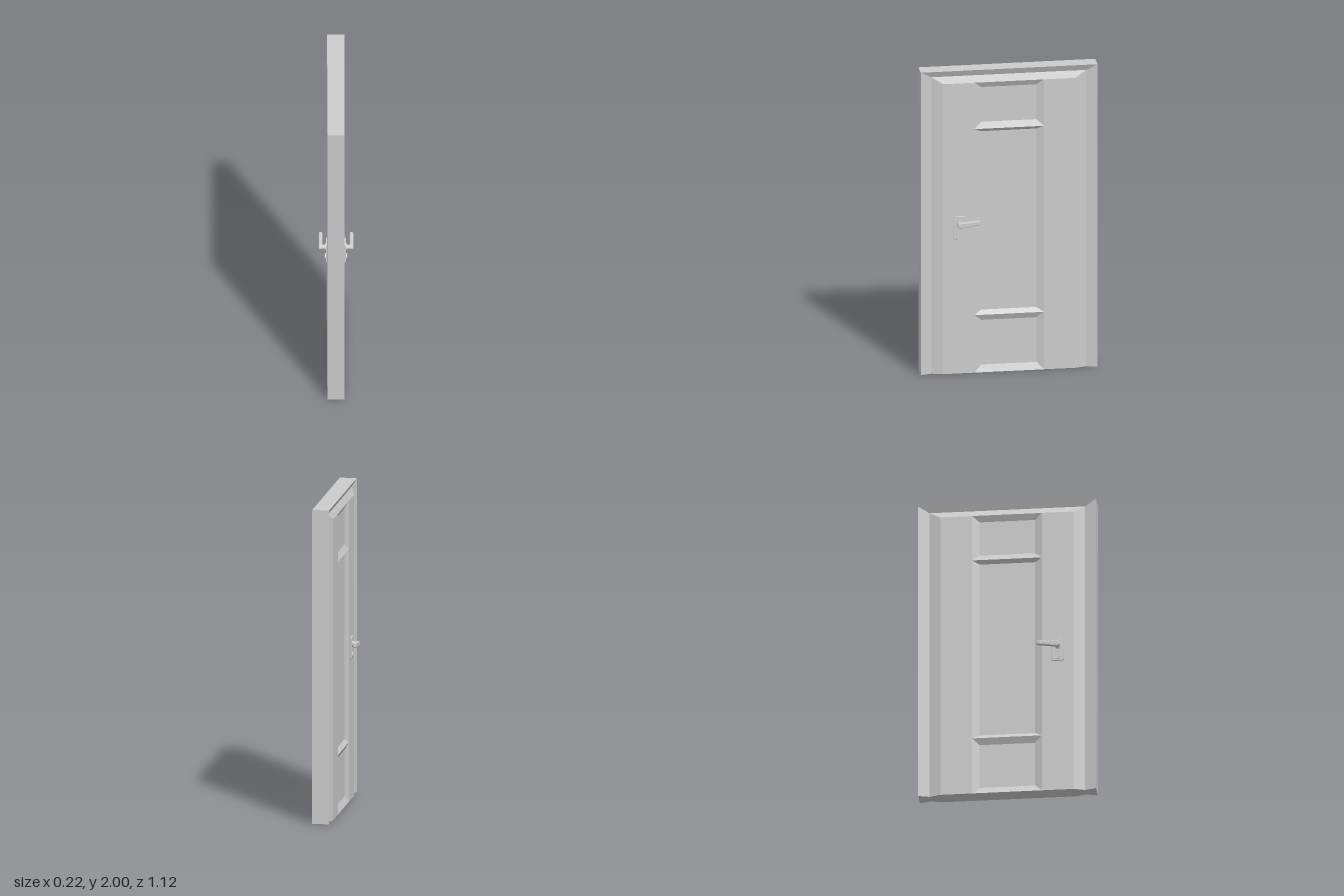
import * as THREE from 'three';

const EDGE = 0.054;    // half thickness at the rim
const GROOVE = 0.02;   // depth of the border groove
const RECESS = 0.02;   // depth of the panels
const faceX = (side) => (side < 0 ? 0.057 : 0.054); // half thickness at the stiles

// Non-indexed quads, each turned so that its normal points along "out"
function quadMesh(name, quads, material) {
  const pos = [];
  for (const { pts, out } of quads) {
    const [a, b, c, d] = pts.map((p) => new THREE.Vector3(...p));
    const n = c.clone().sub(a).cross(d.clone().sub(b));
    const order = n.dot(new THREE.Vector3(...out)) > 0 ? [a, b, c, a, c, d] : [a, c, b, a, d, c];
    order.forEach((v) => pos.push(v.x, v.y, v.z));
  }
  const g = new THREE.BufferGeometry();
  g.setAttribute('position', new THREE.Float32BufferAttribute(pos, 3));
  g.computeVertexNormals();
  const m = new THREE.Mesh(g, material);
  m.name = name;
  return m;
}

// One face of the door: grooved border, flat stiles, three sunk panels
function leafFace(side) {
  const top = faceX(side), low = top - RECESS, groove = EDGE - GROOVE;
  const quads = [];
  const add = (...pts) => quads.push({
    pts: pts.map(([z, y, x]) => [side * x, y, z]), out: [side, 0, 0],
  });

  // border groove: rim slopes down, then back up to the stile
  const rings = [[0.56, 2, EDGE], [0.49, 1.96, groove], [0.42, 1.917, top]];
  for (let i = 0; i < 2; i++) {
    const [z0, y0, x0] = rings[i], [z1, y1, x1] = rings[i + 1];
    for (const s of [1, -1]) add([s * z0, 0, x0], [s * z0, y0, x0], [s * z1, y1, x1], [s * z1, 0, x1]);
    add([z0, y0, x0], [-z0, y0, x0], [-z1, y1, x1], [z1, y1, x1]);
  }

  // stiles
  for (const s of [1, -1]) {
    add([s * 0.42, 0, top], [s * 0.42, 1.917, top], [s * 0.22, 1.917, top], [s * 0.22, 0, top]);
  }

  // panels: bottom, top, lower bevel, upper bevel
  for (const [y0, y1, b0, b1] of [[0, 0.38, 0.045, 0.04], [0.38, 1.61, 0.028, 0.022], [1.61, 1.917, 0.04, 0.037]]) {
    const outer = [[0.22, y0, top], [-0.22, y0, top], [-0.22, y1, top], [0.22, y1, top]];
    const inner = [[0.175, y0 + b0, low], [-0.175, y0 + b0, low], [-0.175, y1 - b1, low], [0.175, y1 - b1, low]];
    add(...inner);
    for (let i = 0; i < 4; i++) {
      const j = (i + 1) % 4;
      add(outer[i], outer[j], inner[j], inner[i]);
    }
  }
  return quads;
}

// Top, hinge and lock edges, and the underside that follows the grooves
function leafEdges() {
  const quads = [];
  const E = EDGE, W = 0.56;
  quads.push({ pts: [[-E, 2, -W], [E, 2, -W], [E, 2, W], [-E, 2, W]], out: [0, 1, 0] });
  for (const s of [1, -1]) {
    quads.push({ pts: [[-E, 0, s * W], [E, 0, s * W], [E, 2, s * W], [-E, 2, s * W]], out: [0, 0, s] });
  }
  const g = E - GROOVE;
  const section = [[-W, E, E], [-0.49, g, g], [-0.42, faceX(-1), faceX(1)],
    [0.42, faceX(-1), faceX(1)], [0.49, g, g], [W, E, E]];
  for (let i = 0; i < section.length - 1; i++) {
    const [z0, l0, r0] = section[i], [z1, l1, r1] = section[i + 1];
    quads.push({ pts: [[-l0, 0, z0], [r0, 0, z0], [r1, 0, z1], [-l1, 0, z1]], out: [0, -1, 0] });
  }
  return quads;
}

// Rounded rectangle centred on the origin
function roundedRect(w, h, r) {
  const s = new THREE.Shape();
  const x = w / 2 - r, y = h / 2 - r;
  s.absarc(x, y, r, 0, Math.PI / 2);
  s.absarc(-x, y, r, Math.PI / 2, Math.PI);
  s.absarc(-x, -y, r, Math.PI, Math.PI * 1.5);
  s.absarc(x, -y, r, Math.PI * 1.5, Math.PI * 2);
  s.closePath();
  return s;
}

// Lever handle on one side; every part is a prism along x between x0 and x1
function handle(side, material) {
  const group = new THREE.Group();
  group.name = side > 0 ? 'leftHandle' : 'rightHandle';
  const place = (name, geometry, x0, x1, y, z) => {
    const m = new THREE.Mesh(geometry, material);
    m.name = name;
    m.position.set(side * (x0 + x1) / 2, y, z);
    group.add(m);
    return m;
  };
  const prism = (shape, thick, bevel) => new THREE.ExtrudeGeometry(shape, {
    depth: thick - 2 * bevel, bevelEnabled: bevel > 0, bevelThickness: bevel,
    bevelSize: bevel, bevelOffset: -bevel, bevelSegments: 2, curveSegments: 8,
  }).translate(0, 0, -thick / 2 + bevel).rotateY(Math.PI / 2);
  const disc = (r, x0, x1) => new THREE.CylinderGeometry(r, r, x1 - x0, 24).rotateZ(Math.PI / 2);

  place('backPlate', prism(roundedRect(0.08, 0.15, 0.015), 0.018, 0.002), 0.046, 0.064, 0.965, 0.318);
  place('leverCollar', disc(0.021, 0.06, 0.069), 0.06, 0.069, 0.99, 0.318);
  place('leverShaft', disc(0.016, 0.06, 0.09), 0.06, 0.09, 0.99, 0.318);
  place('lockCylinder', disc(0.02, 0.06, 0.069), 0.06, 0.069, 0.92, 0.318);
  place('keyway', new THREE.BoxGeometry(0.004, 0.02, 0.005), 0.067, 0.071, 0.92, 0.318);

  // lever arm: rounded over the shaft, tapering slightly to a blunt tip
  const arm = new THREE.Shape();
  arm.absarc(0, 0, 0.018, Math.PI / 2, Math.PI * 1.5);
  arm.lineTo(0.123, -0.015);
  arm.lineTo(0.127, -0.011);
  arm.lineTo(0.127, 0.011);
  arm.lineTo(0.123, 0.015);
  arm.closePath();
  const lever = place('leverArm', prism(arm, 0.024, 0.005), 0.085, 0.109, 0.99, 0.318);
  lever.rotation.x = 0.12;
  return group;
}

export function createModel() {
  const model = new THREE.Group();
  model.name = 'door';
  const grey = new THREE.MeshStandardMaterial({ color: 0xcccccc });

  const leaf = new THREE.Group();
  leaf.name = 'doorLeaf';
  leaf.add(quadMesh('leftFace', leafFace(1), grey));
  leaf.add(quadMesh('rightFace', leafFace(-1), grey));
  leaf.add(quadMesh('leafEdges', leafEdges(), grey));
  model.add(leaf);

  for (const side of [1, -1]) model.add(handle(side, grey));
  return model;
}
